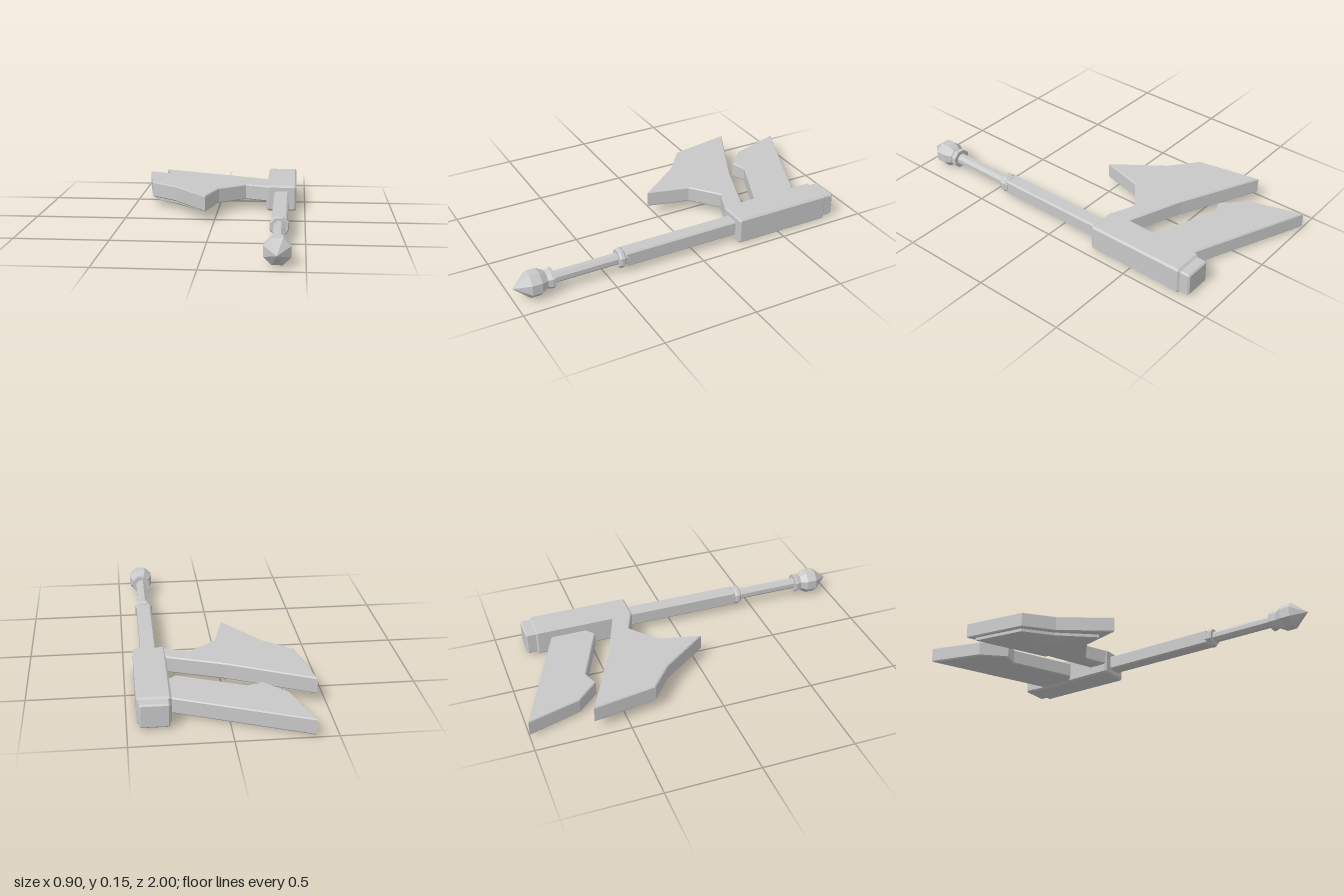
import * as THREE from 'three';

const steel = new THREE.MeshStandardMaterial({ color: 0xc8c8c8, flatShading: true });
steel.name = 'grey steel';

const AXIS_X = 0.365, AXIS_Y = 0.075;

function shapeOf(points) {
  return new THREE.Shape(points.map(([x, y]) => new THREE.Vector2(x, y)));
}

// Extrusion of exactly the given outline and length, with small bevelled ends
function bevelled(shape, length, bevel) {
  const geo = new THREE.ExtrudeGeometry(shape, {
    depth: length - 2 * bevel, bevelEnabled: true, bevelSegments: 1,
    bevelThickness: bevel, bevelSize: bevel, bevelOffset: -bevel,
  });
  return geo.translate(0, 0, bevel);
}

// Bar along z with chamfered long edges
function bar(name, halfW, halfH, z0, z1, chamfer, bevel) {
  const w = halfW, h = halfH, c = chamfer;
  const shape = shapeOf([
    [w, -h + c], [w, h - c], [w - c, h], [-w + c, h],
    [-w, h - c], [-w, -h + c], [-w + c, -h], [w - c, -h],
  ]);
  const mesh = new THREE.Mesh(bevelled(shape, z1 - z0, bevel), steel);
  mesh.position.set(AXIS_X, AXIS_Y, z0);
  mesh.name = name;
  return mesh;
}

// Horizontal plate from an outline of [x, z] corners
function plate(name, outline, y0, y1, bevel) {
  const geo = bevelled(shapeOf(outline.map(([x, z]) => [x, -z])), y1 - y0, bevel);
  geo.rotateX(-Math.PI / 2).translate(0, y0, 0);
  const mesh = new THREE.Mesh(geo, steel);
  mesh.name = name;
  return mesh;
}

// Eight-sided turned part along z; profile lists [apothem, z]
function turned(name, profile) {
  const k = 1 / Math.cos(Math.PI / 8);
  const geo = new THREE.LatheGeometry(profile.map(([r, z]) => new THREE.Vector2(r * k, z)), 8);
  geo.rotateY(Math.PI / 8).rotateX(Math.PI / 2);
  const mesh = new THREE.Mesh(geo, steel);
  mesh.position.set(AXIS_X, AXIS_Y, 0);
  mesh.name = name;
  return mesh;
}

// Shallow faceted boss under a blade: short rim, then a fan to a low point
function boss(name, outline, yTop, yRim, apex) {
  const pos = [];
  outline.forEach(([x, z], i) => {
    const [x2, z2] = outline[(i + 1) % outline.length];
    pos.push(x, yTop, z, x2, yRim, z2, x2, yTop, z2);
    pos.push(x, yTop, z, x, yRim, z, x2, yRim, z2);
    pos.push(x, yRim, z, ...apex, x2, yRim, z2);
  });
  const geo = new THREE.BufferGeometry();
  geo.setAttribute('position', new THREE.Float32BufferAttribute(pos, 3));
  geo.computeVertexNormals();
  const mesh = new THREE.Mesh(geo, steel);
  mesh.name = name;
  return mesh;
}

export function createModel() {
  const axe = new THREE.Group();
  axe.name = 'doubleBladedAxe';

  // Head block and its end cap
  axe.add(bar('headBlock', 0.085, 0.073, -0.802, -0.248, 0.01, 0.01));
  axe.add(bar('headCap', 0.075, 0.063, -0.857, -0.79, 0.008, 0.008));

  // Shaft, grip and pommel
  axe.add(bar('shaft', 0.041, 0.041, -0.26, 0.4, 0.008, 0.004));
  axe.add(turned('shaftCollar', [
    [0, 0.388], [0.044, 0.388], [0.044, 0.402], [0.05, 0.41], [0.05, 0.426], [0.044, 0.436], [0, 0.436],
  ]));
  axe.add(turned('grip', [[0, 0.42], [0.029, 0.42], [0.029, 0.8], [0, 0.8]]));
  axe.add(turned('pommelCollar', [
    [0, 0.79], [0.05, 0.79], [0.05, 0.805], [0.041, 0.832], [0, 0.832],
  ]));
  axe.add(turned('pommel', [
    [0, 0.825], [0.045, 0.828], [0.065, 0.865], [0.065, 0.918], [0, 1],
  ]));

  // Rear blade
  axe.add(plate('rearBlade', [
    [-0.39, -1], [-0.305, -0.715], [-0.19, -0.598], [-0.105, -0.627],
    [0.24, -0.48], [0.28, -0.515], [0.32, -0.515], [0.32, -0.703],
  ], 0.012, 0.097, 0.006));

  // Front blade, set higher, with a faceted boss underneath
  axe.add(plate('frontBlade', [
    [-0.452, -0.679], [-0.392, -0.335], [-0.243, -0.215], [-0.05, 0.042], [0.008, -0.187],
    [0.157, -0.306], [0.28, -0.256], [0.32, -0.256], [0.32, -0.35], [-0.02, -0.475],
  ], 0.055, 0.143, 0.006));
  axe.add(boss('bladeBoss', [
    [-0.425, -0.635], [-0.375, -0.35], [-0.23, -0.235], [-0.07, -0.05],
    [-0.02, -0.2], [-0.03, -0.455],
  ], 0.057, 0.038, [-0.25, 0.005, -0.37]));

  return axe;
}
